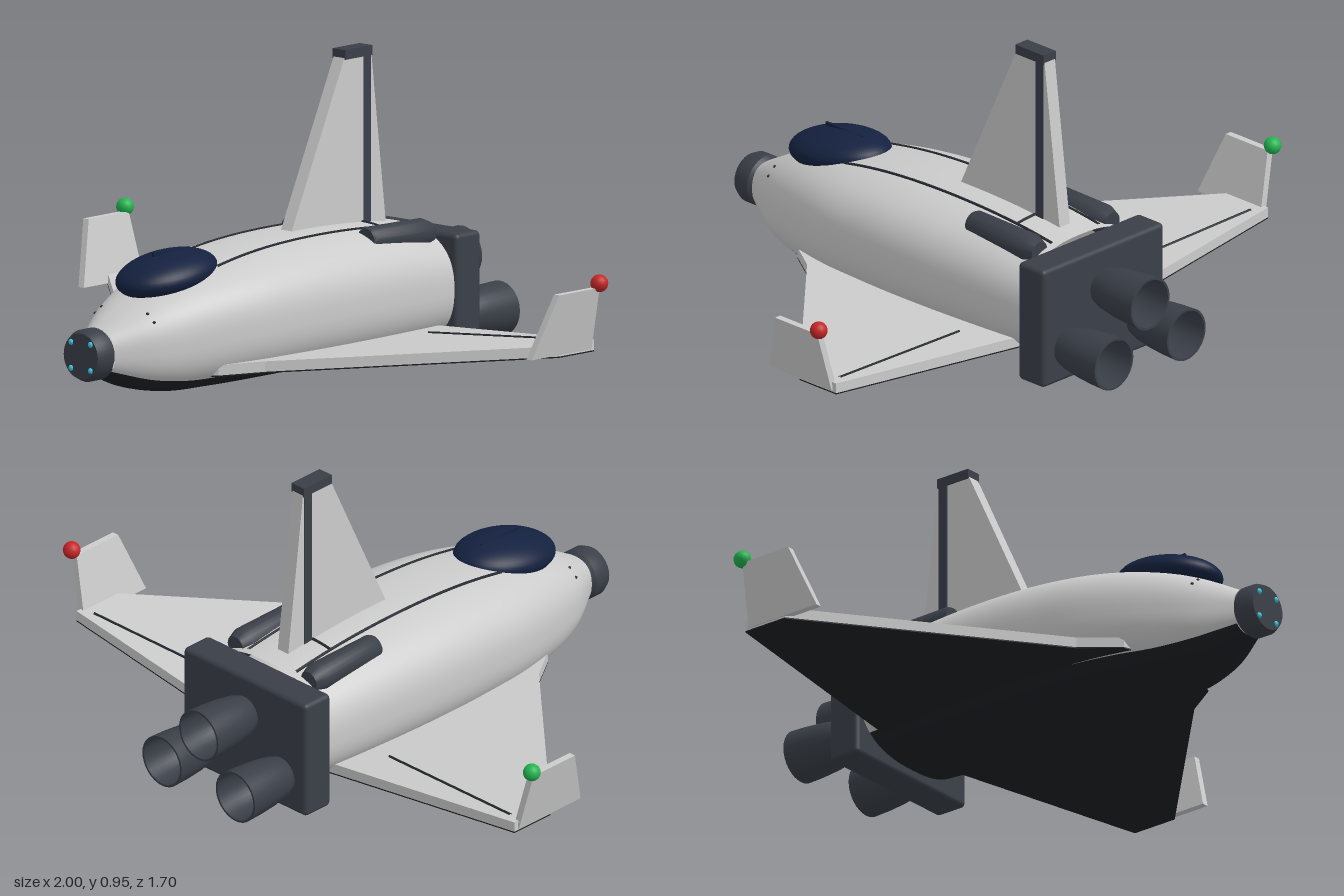
import * as THREE from 'three';
import { toCreasedNormals } from 'three/addons/utils/BufferGeometryUtils.js';
import { RoundedBoxGeometry } from 'three/addons/geometries/RoundedBoxGeometry.js';

const mat = (color) => new THREE.MeshStandardMaterial({ color, side: THREE.DoubleSide });
const V = (x, y, z) => new THREE.Vector3(x, y, z);

// Hull stations from nose to tail, evenly spaced: half width, bottom, top
const Z0 = 0.77, Z1 = -0.55;
const stations = new THREE.CatmullRomCurve3([
  [0.07, 0.1, 0.24], [0.145, 0.05, 0.305], [0.195, 0.027, 0.355], [0.232, 0.025, 0.388],
  [0.258, 0.025, 0.41], [0.27, 0.026, 0.425], [0.278, 0.027, 0.433], [0.28, 0.028, 0.436],
  [0.278, 0.03, 0.435], [0.272, 0.032, 0.43], [0.263, 0.035, 0.42], [0.25, 0.04, 0.405],
].map((p) => V(...p)), false, 'catmullrom');
const POW = 2.5;
const station = (z) => stations.getPoint((z - Z0) / (Z1 - Z0));

// Point on the rounded-square hull section at angle a
function hullPoint(z, a) {
  const s = station(z), e = 2 / POW, c = Math.cos(a), n = Math.sin(a);
  const x = s.x * Math.sign(c) * Math.abs(c) ** e;
  const y = (s.y + s.z) / 2 + ((s.z - s.y) / 2) * Math.sign(n) * Math.abs(n) ** e;
  return V(x, y, z);
}

// Height of the hull's upper skin above a given x and z
function hullTop(x, z) {
  const s = station(z);
  return (s.y + s.z) / 2 + ((s.z - s.y) / 2) * (1 - Math.abs(x / s.x) ** POW) ** (1 / POW);
}

// Skin of the hull between two section angles
function hullSkin(a0, a1, cols) {
  const rows = 48, pos = [], idx = [];
  for (let i = 0; i <= rows; i++) {
    for (let j = 0; j <= cols; j++) {
      const p = hullPoint(Z0 + ((Z1 - Z0) * i) / rows, a0 + ((a1 - a0) * j) / cols);
      pos.push(p.x, p.y, p.z);
      if (i < rows && j < cols) {
        const k = i * (cols + 1) + j, m = k + cols + 1;
        idx.push(k, m, k + 1, m, m + 1, k + 1);
      }
    }
  }
  const g = new THREE.BufferGeometry();
  g.setAttribute('position', new THREE.Float32BufferAttribute(pos, 3));
  g.setIndex(idx);
  g.computeVertexNormals();
  return g;
}

const extrude = (pts, depth) => new THREE.ExtrudeGeometry(
  new THREE.Shape(pts.map((p) => new THREE.Vector2(...p))), { depth, bevelEnabled: false });

// Plate outlined in (z, y), centred on x = 0
const sidePlate = (pts, w) => extrude(pts, w).translate(0, 0, -w / 2).rotateY(-Math.PI / 2);

// Moves every vertex by a rule
function bend(g, rule) {
  const p = g.attributes.position, v = V(0, 0, 0);
  for (let i = 0; i < p.count; i++) {
    rule(v.fromBufferAttribute(p, i));
    p.setXYZ(i, v.x, v.y, v.z);
  }
  g.computeVertexNormals();
  return g;
}

const lathe = (pts, n) => toCreasedNormals(
  new THREE.LatheGeometry(pts.map((p) => new THREE.Vector2(...p)), n), 0.6);

const seam = (pts, r = 0.005) =>
  new THREE.TubeGeometry(new THREE.CatmullRomCurve3(pts), Math.max(8, pts.length * 2), r, 6);

export function createModel() {
  const root = new THREE.Group();
  const hull = mat(0xcccccc), dark = mat(0x3a3f48), tile = mat(0x1d2024), line = mat(0x25282e);
  const glass = mat(0x14213f), cyan = mat(0x35c5e0), red = mat(0xc42626), green = mat(0x22b450);
  const add = (name, geo, m, x = 0, y = 0, z = 0) => {
    const mesh = new THREE.Mesh(geo, m);
    mesh.name = name;
    mesh.position.set(x, y, z);
    root.add(mesh);
    return mesh;
  };

  // Fuselage: pale upper skin and dark heat-shield belly
  const split = 0.72;
  add('fuselage', hullSkin(-split, Math.PI + split, 48), hull);
  add('belly', hullSkin(Math.PI + split, 2 * Math.PI - split, 20), tile);

  // Docking ring with four lights
  add('dockingRing', lathe([[0, 0], [0.07, 0], [0.08, 0.012], [0.08, 0.055], [0.07, 0.075], [0, 0.075]], 32)
    .rotateX(Math.PI / 2), dark, 0, 0.17, 0.77);
  for (const x of [-0.04, 0.04]) for (const y of [-0.04, 0.04]) {
    add('dockingLight', new THREE.SphereGeometry(0.01, 12, 8), cyan, x, 0.17 + y, 0.842);
  }

  // Canopy and its centre frame
  const canopy = add('canopy', new THREE.SphereGeometry(1, 40, 24), glass, 0, 0.375, 0.465);
  canopy.scale.set(0.13, 0.064, 0.18);
  canopy.rotation.x = 0.15;
  add('canopyFrame', new THREE.BoxGeometry(0.008, 0.012, 0.16), glass, 0, 0.438, 0.445);

  // Engine block and three bell nozzles
  add('engineBlock', new RoundedBoxGeometry(0.52, 0.385, 0.11, 3, 0.015), dark, 0, 0.2, -0.595);
  const bell = lathe([[0.058, 0], [0.068, 0.03], [0.076, 0.08], [0.081, 0.14], [0.083, 0.195],
    [0.076, 0.195], [0.073, 0.14], [0.067, 0.08], [0.05, 0.03], [0, 0.02]], 32).rotateX(-Math.PI / 2);
  for (const [x, y] of [[0, 0.267], [-0.155, 0.117], [0.155, 0.117]]) add('nozzle', bell, dark, x, y, -0.65);

  // Tail fin with rudder strip and cap
  add('tailFin', sidePlate([[-0.05, 0.4], [-0.3, 0.935], [-0.42, 0.935], [-0.485, 0.4]], 0.044), hull);
  add('rudderStrip', new THREE.BoxGeometry(0.05, 0.53, 0.032), dark, 0, 0.67, -0.4);
  add('finCap', new THREE.BoxGeometry(0.052, 0.03, 0.12), dark, 0, 0.945, -0.36);

  // Cargo door cross seam
  const cross = [-0.1, -0.05, 0, 0.05, 0.1].map((x) => V(x, hullTop(x, -0.38), -0.38));
  add('doorSeam', seam(cross), line);

  const podGeo = lathe([[0, 0], [0.036, 0], [0.041, 0.01], [0.046, 0.245], [0.033, 0.28], [0, 0.28]], 24)
    .rotateX(-Math.PI / 2);
  const wingY = (x) => 0.066 + 0.07 * Math.abs(x);

  for (const s of [1, -1]) {
    // Long cargo door seam
    const long = [];
    for (let z = 0.35; z > -0.54; z -= 0.08) long.push(V(s * 0.1, hullTop(0.1, z), z));
    add('doorSeam', seam(long), line);

    // Manoeuvring pod
    add('enginePod', podGeo, dark, s * 0.155, 0.4, -0.25).rotation.x = -0.04;

    // Wing with dark underside, rising toward the tip
    const plan = [[0.1, 0.5], [0.2, 0.45], [0.28, 0.33], [0.925, -0.275], [0.925, -0.43], [0.1, -0.505]]
      .map(([x, z]) => [s * x, -z]);
    const panel = (t, base) => bend(extrude(plan, t).rotateX(-Math.PI / 2), (v) => { v.y += wingY(v.x) + base; });
    add('wing', panel(0.032, 0.004), hull);
    add('wingUnderside', panel(0.004, 0), tile);
    add('elevonSeam', seam([V(s * 0.32, wingY(0.32) + 0.036, -0.352), V(s * 0.88, wingY(0.88) + 0.036, -0.4)]), line);

    // Winglet leaning outward, with navigation light
    const winglet = sidePlate([[-0.15, 0.14], [-0.222, 0.335], [-0.4, 0.335], [-0.415, 0.14]], 0.022);
    add('winglet', bend(winglet, (v) => { v.x += s * (0.918 + (v.y - 0.14) * 0.24); }), hull);
    add('navigationLight', new THREE.SphereGeometry(0.027, 16, 12), s > 0 ? red : green, s * 0.972, 0.348, -0.403);

    // Nose thruster ports
    for (const a of [0.65, 0.95]) {
      const p = hullPoint(0.65, s > 0 ? a : Math.PI - a);
      add('thrusterPort', new THREE.SphereGeometry(0.005, 8, 6), line, p.x, p.y, p.z);
    }
  }
  return root;
}
